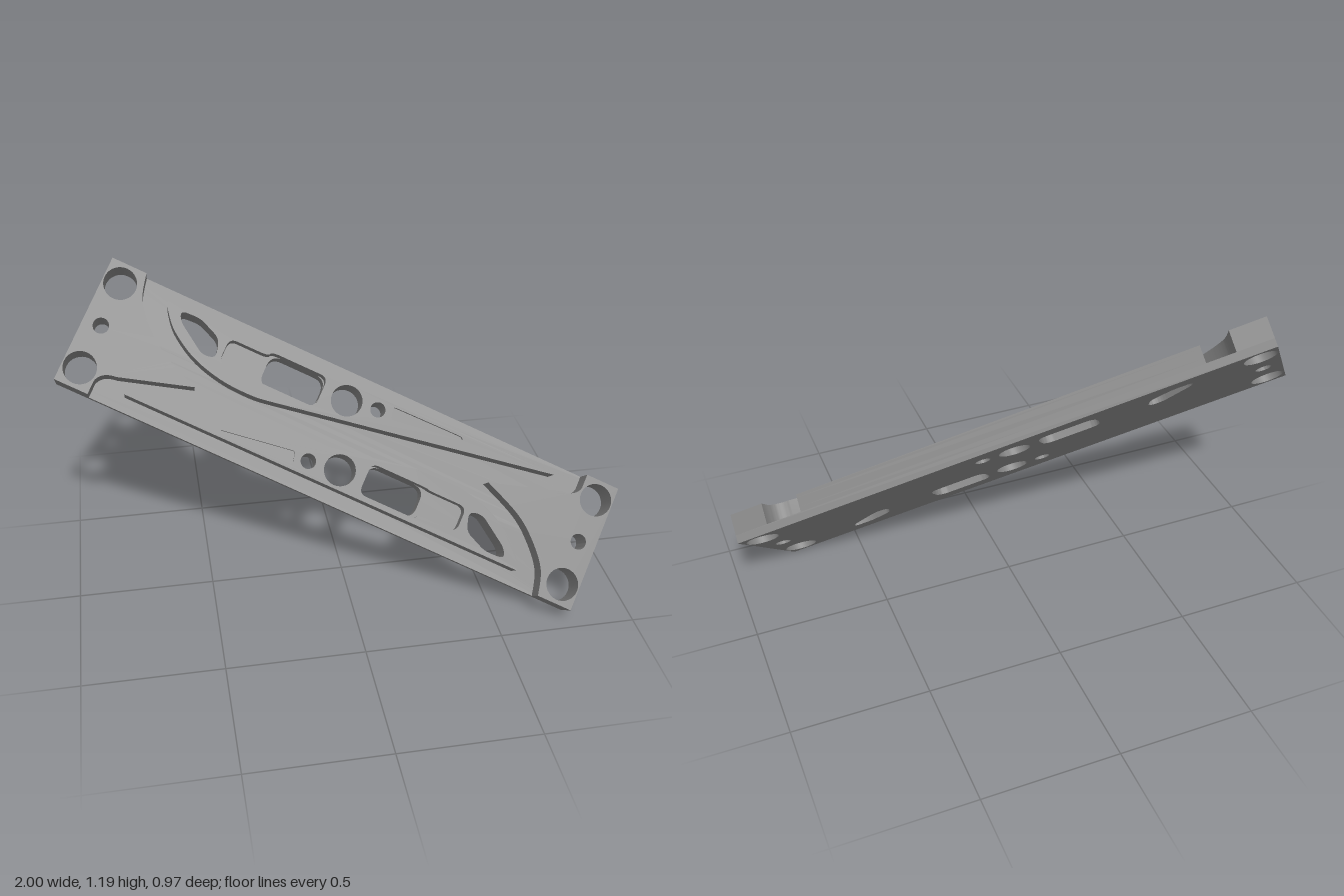
import * as THREE from 'three';
import { toCreasedNormals } from 'three/addons/utils/BufferGeometryUtils.js';

const HALF_L = 1.014, HALF_W = 0.2425, THICK = 0.11;
const FLOOR = 0.031, RECESS = 0.062, SHALLOW = 0.098;

const pts = (list) => list.map(([x, y]) => new THREE.Vector2(x, y));

// Closed outline with rounded corners
function rounded(list, r, Kind = THREE.Path) {
  const p = pts(list), n = p.length, path = new Kind();
  p.forEach((c, i) => {
    const a = p[(i + n - 1) % n], b = p[(i + 1) % n];
    const toward = (q) => c.clone().lerp(q, Math.min(r / c.distanceTo(q), 0.48));
    const start = toward(a), end = toward(b);
    if (i === 0) path.moveTo(start.x, start.y);
    else path.lineTo(start.x, start.y);
    path.quadraticCurveTo(c.x, c.y, end.x, end.y);
  });
  path.closePath();
  return path;
}

const circle = (x, y, r) => new THREE.Path().absarc(x, y, r, 0, Math.PI * 2, true);

// Same outline turned half way round the plate centre
const turned = (path) => new THREE.Path(path.getPoints(16).map((p) => p.clone().negate()));

export function createModel() {
  const metal = new THREE.MeshStandardMaterial({ color: 0x7f7f7f });
  metal.name = 'grey metal';

  const slab = (name, shape, holes, from, to) => {
    shape.holes = holes;
    const geo = new THREE.ExtrudeGeometry(shape, { depth: to - from, bevelEnabled: false, curveSegments: 16 });
    geo.translate(0, 0, from);
    const mesh = new THREE.Mesh(toCreasedNormals(geo, 0.5), metal);
    mesh.name = name;
    return mesh;
  };

  // Openings
  const endHoles = () => [circle(-0.95, 0.168, 0.06), circle(-0.95, -0.168, 0.06), circle(-0.947, 0, 0.029)];
  const roundHoles = () => [circle(-0.039, 0.121, 0.058), circle(0.078, 0.138, 0.028)];
  const cornerWindow = () => rounded([
    [-0.715, 0.17], [-0.64, 0.174], [-0.55, 0.135], [-0.53, 0.065], [-0.58, 0.055], [-0.70, 0.135],
  ], 0.025);
  const slot = () => rounded([[-0.355, 0.05], [-0.135, 0.05], [-0.135, 0.17], [-0.355, 0.17]], 0.045);
  const steppedSlot = () => rounded([
    [-0.355, 0.05], [-0.135, 0.05], [-0.135, 0.17], [-0.355, 0.17],
    [-0.365, 0.152], [-0.515, 0.152], [-0.515, 0.055], [-0.365, 0.055],
  ], 0.03);
  const shallowPocket = () => rounded([[0.125, 0.172], [0.135, 0.124], [0.41, 0.165], [0.40, 0.176]], 0.012);

  // Raised lens-shaped island
  const islandShape = () => {
    const s = new THREE.Shape();
    s.moveTo(0.77, 0.19);
    s.lineTo(-0.774, 0.19);
    s.splineThru(pts([[-0.755, 0.15], [-0.70, 0.09], [-0.60, 0.032], [-0.48, 0], [-0.36, -0.006], [-0.28, 0.004]]));
    s.closePath();
    return s;
  };

  // Raised pad at the end of the plate
  const padShape = () => {
    const s = new THREE.Shape();
    s.moveTo(-HALF_L, HALF_W);
    s.lineTo(-HALF_L, -HALF_W);
    s.lineTo(-0.886, -HALF_W);
    s.lineTo(-0.886, -0.19);
    s.quadraticCurveTo(-0.876, -0.15, -0.82, -0.145);
    s.lineTo(-0.555, -0.063);
    s.splineThru(pts([[-0.70, 0], [-0.787, 0.067], [-0.855, 0.15], [-0.882, HALF_W]]));
    s.closePath();
    return s;
  };

  const plate = new THREE.Group();
  plate.name = 'plate';

  // Thin base with every through opening
  const through = [...endHoles(), ...roundHoles(), cornerWindow(), slot()];
  const baseShape = new THREE.Shape(pts([
    [-HALF_L, -HALF_W], [HALF_L, -HALF_W], [HALF_L, HALF_W], [-HALF_L, HALF_W],
  ]));
  plate.add(slab('basePlate', baseShape, [...through, ...through.map(turned)], 0, FLOOR));

  // Raised parts, repeated by a half turn
  for (const side of ['left', 'right']) {
    const half = new THREE.Group();
    half.name = side === 'left' ? 'upperHalf' : 'lowerHalf';
    half.add(
      slab('endPad', padShape(), endHoles(), FLOOR, THICK),
      slab('islandBottom', islandShape(), [...roundHoles(), cornerWindow(), slot()], FLOOR, RECESS),
      slab('islandMiddle', islandShape(), [...roundHoles(), cornerWindow(), steppedSlot()], RECESS, SHALLOW),
      slab('islandTop', islandShape(), [...roundHoles(), cornerWindow(), steppedSlot(), shallowPocket()], SHALLOW, THICK),
    );
    if (side === 'right') half.rotation.z = Math.PI;
    plate.add(half);
  }

  // Tilt the plate into place
  plate.children.forEach((c) => { c.position.z = -THICK / 2; });
  plate.rotation.set(-0.669, 0, -0.52);
  plate.position.y = 0.595;

  const model = new THREE.Group();
  model.name = 'slottedPlate';
  model.add(plate);
  return model;
}
